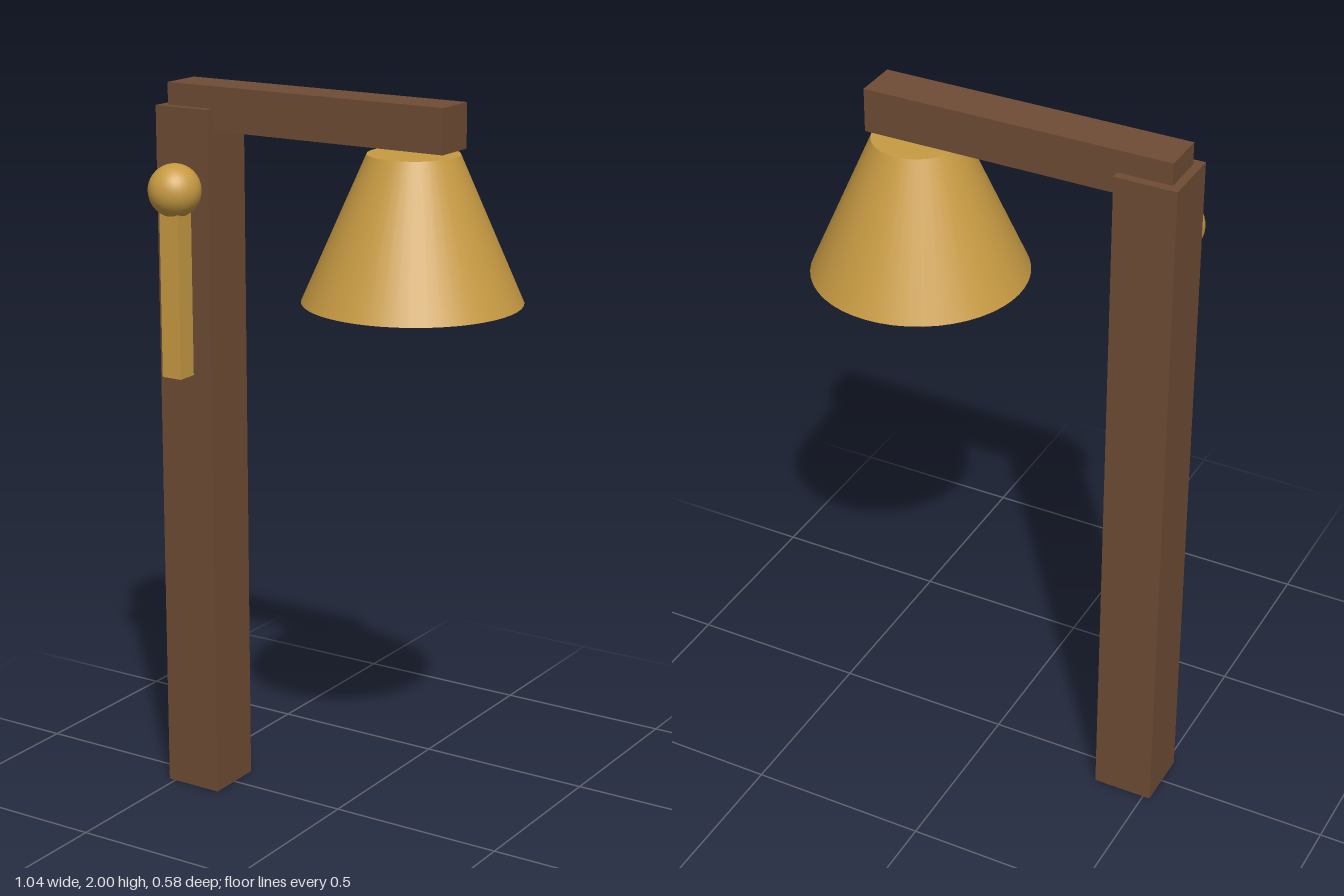
import * as THREE from 'three';

export function createModel() {
  const group = new THREE.Group();
  const wood = new THREE.MeshStandardMaterial({ color: 0x6f4c35 });
  wood.name = 'brown wood';
  const brass = new THREE.MeshStandardMaterial({ color: 0xc89b43 });
  brass.name = 'brass';

  const add = (name, geometry, material, x, y, z) => {
    const mesh = new THREE.Mesh(geometry, material);
    mesh.name = name;
    mesh.position.set(x, y, z);
    group.add(mesh);
  };

  // Upright post and the overhanging beam
  const postX = -0.436;
  add('post', new THREE.BoxGeometry(0.168, 1.94, 0.168), wood, postX, 0.97, 0);
  add('beam', new THREE.BoxGeometry(0.844, 0.118, 0.12), wood, -0.075, 1.941, 0);

  // Closed conical bell hanging just below the beam
  add('bell', new THREE.CylinderGeometry(0.12, 0.288, 0.384, 48), brass, 0.228, 1.675, 0);

  // Striker on the front of the post: square handle and ball head
  add('strikerHandle', new THREE.BoxGeometry(0.06, 0.48, 0.06), brass, postX, 1.457, 0.12);
  add('strikerHead', new THREE.SphereGeometry(0.072, 32, 20), brass, postX, 1.725, 0.12);

  return group;
}
